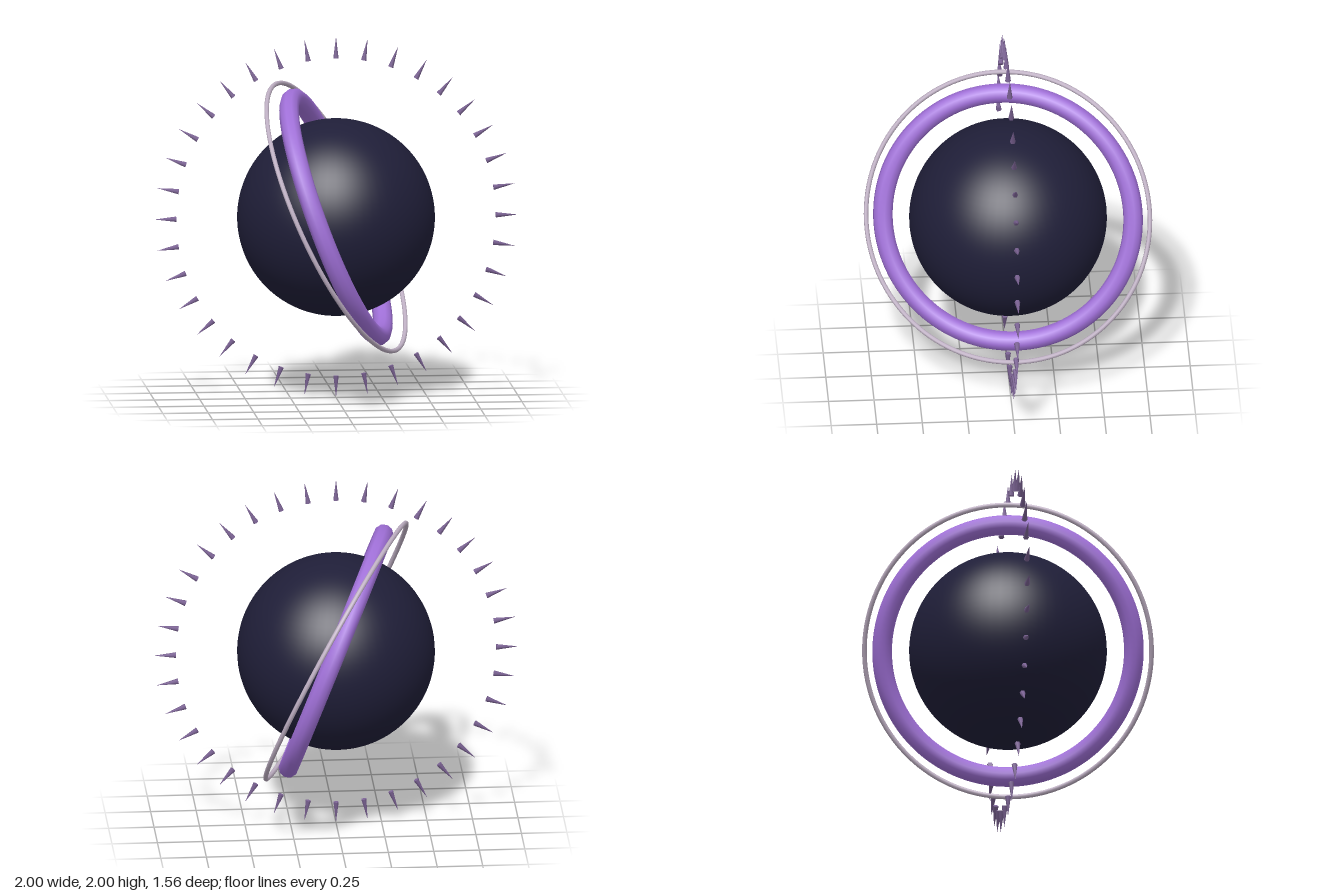
import * as THREE from 'three';

const material = (name, color) => {
  const m = new THREE.MeshStandardMaterial({ color });
  m.name = name;
  return m;
};

export function createModel() {
  const model = new THREE.Group();
  model.name = 'ringedOrb';

  const midnight = material('midnight blue', 0x1f1e38);
  const violet = material('violet', 0xa070d8);
  const paleLilac = material('pale lilac', 0xbfb0c4);
  const duskPurple = material('dusk purple', 0x7d6496);

  // Everything is arranged around the orb's centre
  const centre = new THREE.Group();
  centre.name = 'orbCentre';
  centre.position.y = 1;
  model.add(centre);

  const add = (name, geometry, mat, parent = centre) => {
    const mesh = new THREE.Mesh(geometry, mat);
    mesh.name = name;
    parent.add(mesh);
    return mesh;
  };

  // Dark core
  add('core', new THREE.SphereGeometry(0.542, 64, 48), midnight);

  // Tilted rings, each given by the axis it turns around
  const addRing = (name, radius, tube, sides, mat, axis) => {
    const ring = add(name, new THREE.TorusGeometry(radius, tube, sides, 128), mat);
    ring.quaternion.setFromUnitVectors(
      new THREE.Vector3(0, 0, 1),
      new THREE.Vector3(...axis).normalize()
    );
  };
  addRing('thickRing', 0.692, 0.054, 10, violet, [0.915, 0.357, 0.19]);
  addRing('thinRing', 0.8, 0.013, 8, paleLilac, [0.857, 0.43, 0.284]);

  // Upright halo of spikes pointing outwards
  const halo = new THREE.Group();
  halo.name = 'spikeHalo';
  centre.add(halo);
  const count = 36;
  const length = 0.12;
  const spikeGeometry = new THREE.ConeGeometry(0.016, length, 6);
  spikeGeometry.translate(0, 1 - length / 2, 0);
  for (let i = 0; i < count; i++) {
    const spike = add('spike', spikeGeometry, duskPurple, halo);
    spike.rotation.z = (i / count) * Math.PI * 2;
  }

  return model;
}
